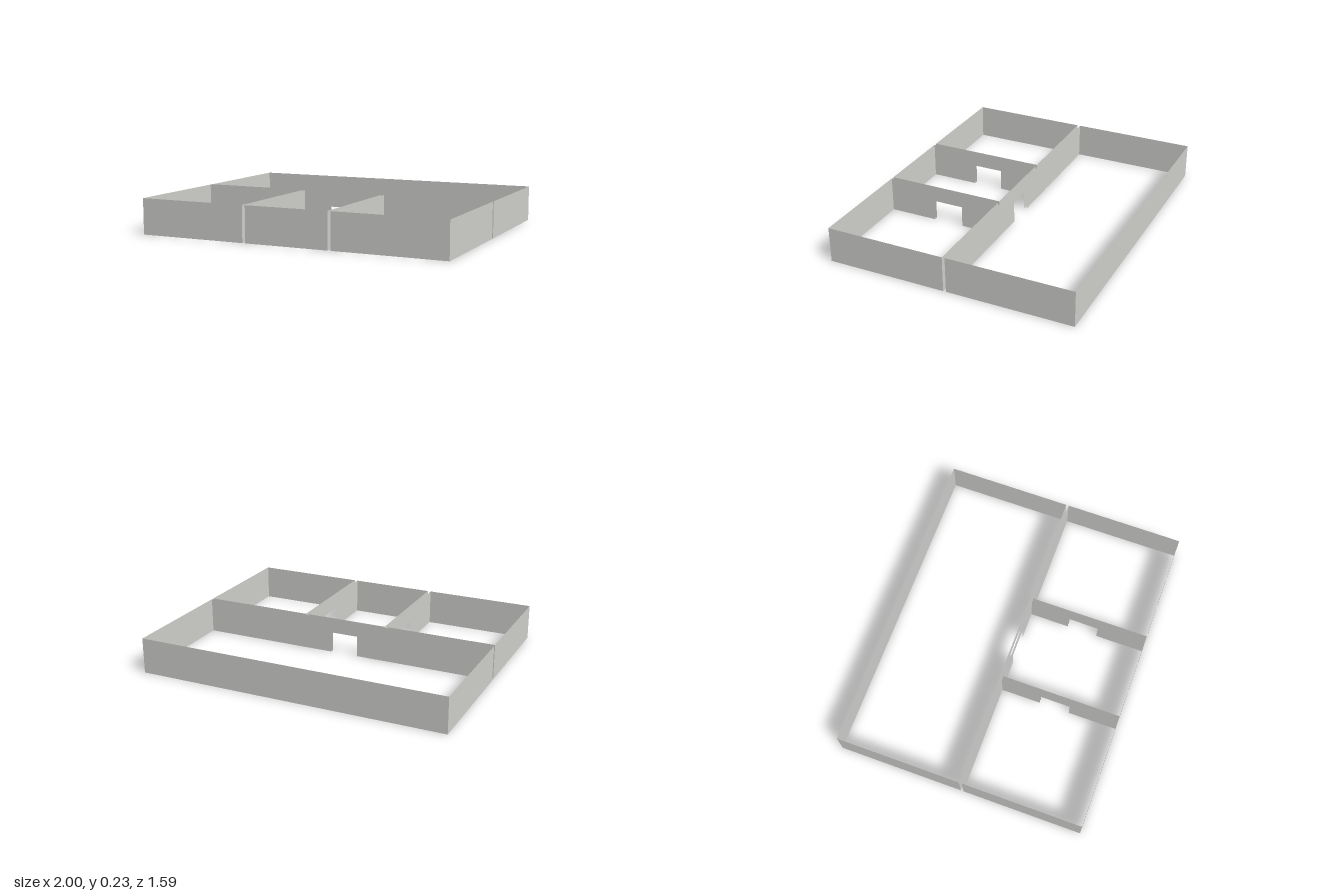
import * as THREE from 'three';

const HEIGHT = 0.228, DOOR_HEIGHT = 0.135;

export function createModel() {
  const model = new THREE.Group();
  model.name = 'floorPlanWalls';
  const plaster = new THREE.MeshStandardMaterial({ color: 0xd2d2cf, side: THREE.DoubleSide });
  plaster.name = 'plaster';

  // Upright sheet from (x0, z0) to (x1, z1); door is [start, end] measured along it
  function wall(parent, name, x0, z0, x1, z1, door) {
    const length = Math.hypot(x1 - x0, z1 - z0);
    const outline = [[0, 0]];
    if (door) {
      const [a, b] = door;
      outline.push([a, 0], [a, DOOR_HEIGHT], [b, DOOR_HEIGHT], [b, 0]);
    }
    outline.push([length, 0], [length, HEIGHT], [0, HEIGHT]);
    const shape = new THREE.Shape(outline.map(([x, y]) => new THREE.Vector2(x, y)));
    const mesh = new THREE.Mesh(new THREE.ShapeGeometry(shape), plaster);
    mesh.name = name;
    mesh.position.set(x0, 0, z0);
    mesh.rotation.y = -Math.atan2(z1 - z0, x1 - x0);
    parent.add(mesh);
  }

  // Four walls round a room, outsides facing out; doors are given in world x or z
  function room(name, x0, x1, z0, z1, doors = {}) {
    const group = new THREE.Group();
    group.name = name;
    const { front, back, left, right } = doors;
    wall(group, 'frontWall', x0, z1, x1, z1, front && [front[0] - x0, front[1] - x0]);
    wall(group, 'leftWall', x1, z1, x1, z0, left && [z1 - left[1], z1 - left[0]]);
    wall(group, 'backWall', x1, z0, x0, z0, back && [x1 - back[1], x1 - back[0]]);
    wall(group, 'rightWall', x0, z0, x0, z1, right && [right[0] - z0, right[1] - z0]);
    model.add(group);
  }

  const hallDoor = [-0.09, 0.093], sideDoor = [0.283, 0.48];
  const backEdge = -0.795, frontEdge = 0.795, hallFront = 0.008, roomBack = 0.026;

  // Long back room, then three front rooms separated by narrow gaps
  room('backRoom', -1, 1, backEdge, hallFront, { front: hallDoor });
  room('frontRightRoom', -1, -0.293, roomBack, frontEdge, { left: sideDoor });
  room('frontMiddleRoom', -0.273, 0.268, roomBack, frontEdge,
    { back: hallDoor, left: sideDoor, right: sideDoor });
  room('frontLeftRoom', 0.288, 1, roomBack, frontEdge, { right: sideDoor });

  return model;
}
